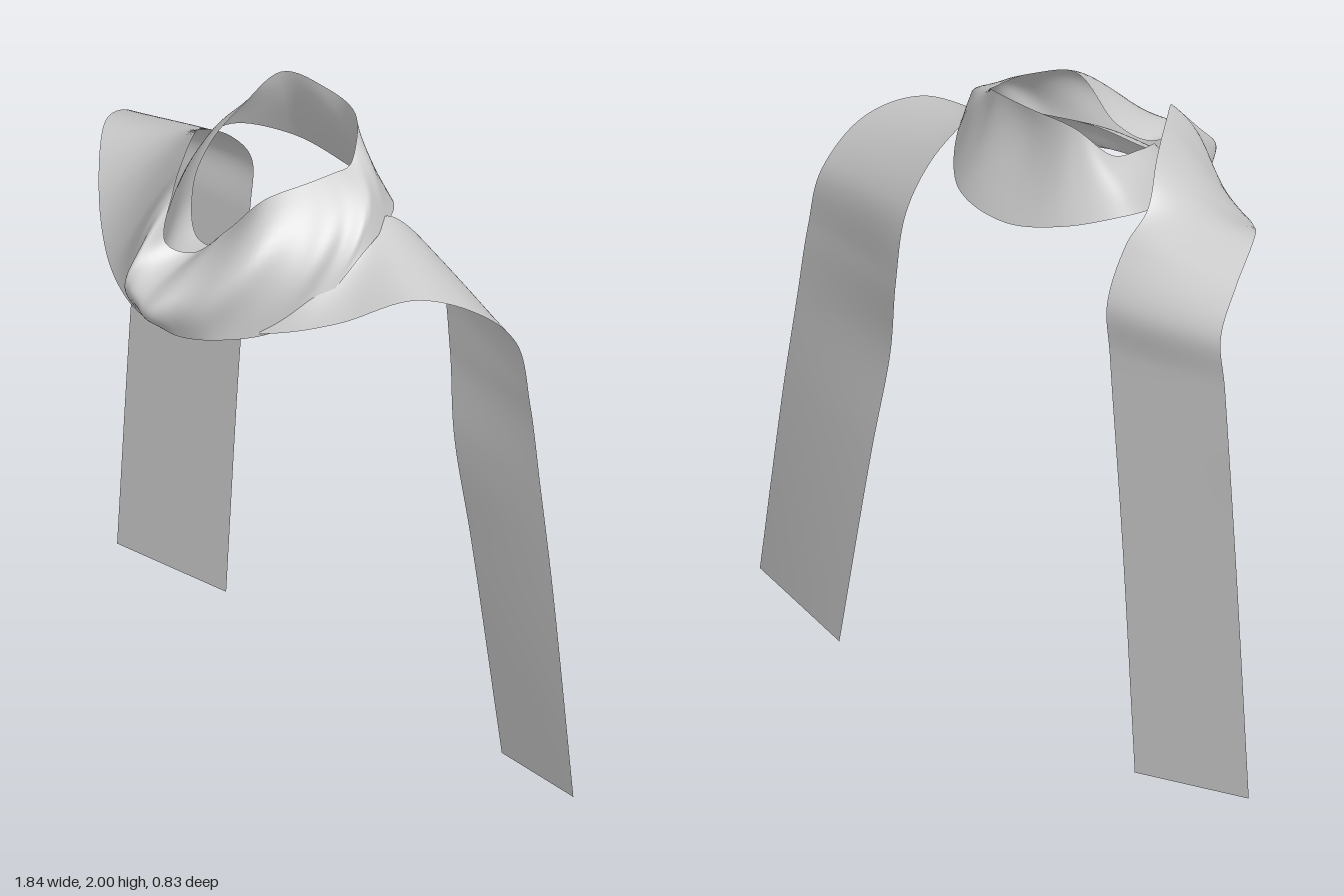
import * as THREE from 'three';

// Each row is one cross-section of the cloth: lower/outer edge xyz, upper/inner edge xyz, outward bulge
const rightTail = [
  [-0.922, 0.025, -0.28, -0.558, 0.003, -0.355, 0],
  [-0.885, 0.75, -0.29, -0.52, 0.75, -0.365, 0],
  [-0.85, 1.35, -0.3, -0.482, 1.35, -0.375, 0],
  [-0.835, 1.52, -0.3, -0.475, 1.53, -0.378, 0.01],
  [-0.805, 1.63, -0.2, -0.46, 1.67, -0.28, 0.01],
  [-0.74, 1.69, -0.05, -0.46, 1.74, -0.19, -0.01],
  [-0.58, 1.6, 0.13, -0.39, 1.825, -0.07, 0],
];
const neckWrap = [
  [-0.41, 1.53, 0.26, -0.28, 1.845, 0.1, 0.01],
  [-0.27, 1.51, 0.33, -0.22, 1.83, 0.19, 0.03],
  [-0.19, 1.502, 0.35, -0.19, 1.7, 0.25, 0.09],
  [-0.11, 1.5, 0.355, -0.13, 1.67, 0.2, 0.15],
  [-0.03, 1.502, 0.35, -0.07, 1.74, 0.12, 0.15],
  [0.07, 1.515, 0.3, 0.04, 1.88, 0.08, 0.1],
  [0.19, 1.55, 0.19, 0.1, 1.91, -0.04, 0.085],
  [0.27, 1.65, 0.06, 0.12, 1.915, -0.12, 0.07],
  [0.29, 1.745, -0.06, 0.125, 1.915, -0.17, 0.05],
  [0.24, 1.75, -0.2, 0.1, 1.94, -0.22, 0.02],
  [0.09, 1.685, -0.375, 0.03, 1.99, -0.29, -0.015],
  [-0.12, 1.67, -0.415, -0.12, 2, -0.31, -0.03],
  [-0.31, 1.71, -0.37, -0.27, 1.985, -0.29, -0.01],
  [-0.44, 1.74, -0.24, -0.335, 1.88, -0.2, 0.015],
  [-0.43, 1.7, -0.09, -0.32, 1.83, -0.06, 0.015],
  [-0.35, 1.6, 0.1, -0.26, 1.77, 0.07, 0.01],
];
const leftTail = [
  [-0.2, 1.53, 0.28, -0.16, 1.68, 0.15, 0.03],
  [0, 1.52, 0.3, 0, 1.7, 0.12, 0.04],
  [0.2, 1.555, 0.2, 0.18, 1.71, 0.05, 0.02],
  [0.35, 1.61, 0.09, 0.25, 1.75, -0.08, 0],
  [0.5, 1.69, -0.06, 0.22, 1.765, -0.22, 0],
  [0.605, 1.64, -0.19, 0.25, 1.68, -0.31, 0.01],
  [0.66, 1.5, -0.31, 0.285, 1.53, -0.375, 0.01],
  [0.7, 1.3, -0.325, 0.325, 1.28, -0.375, 0],
  [0.745, 1.05, -0.32, 0.37, 1.02, -0.347, 0],
  [0.805, 0.73, -0.31, 0.435, 0.68, -0.352, 0],
  [0.92, 0.07, -0.28, 0.555, 0.003, -0.355, 0],
];

const rows = [...rightTail, ...neckWrap, ...leftTail];
const last = rows.length - 1;
const edgeCurve = (k) => new THREE.CatmullRomCurve3(
  rows.map((r) => new THREE.Vector3(r[k], r[k + 1], r[k + 2])));
const lower = edgeCurve(0);
const upper = edgeCurve(3);

// Point on the cloth at section s (0..last) and v across its width
function clothPoint(s, v) {
  const a = lower.getPoint(s / last);
  const b = upper.getPoint(s / last);
  const i = Math.min(Math.floor(s), last - 1);
  const bulge = THREE.MathUtils.lerp(rows[i][6], rows[i + 1][6], THREE.MathUtils.smoothstep(s - i, 0, 1));
  const p = a.lerp(b, v);
  const out = new THREE.Vector3(p.x + 0.1, 0, p.z + 0.05).normalize();
  // fullest just above the middle, with slanting creases on the bulging stretches
  const crease = 0.08 * Math.sin(s * 4.5 - v * 3) * Math.sin(v * Math.PI);
  return p.addScaledVector(out, bulge * (v * (1 - v) * (2 + 3.4 * v) + crease));
}

// Strip of cloth between two sections
function strip(name, from, to, material) {
  const nu = (to - from) * 10;
  const nv = 18;
  const geometry = new THREE.PlaneGeometry(1, 1, nv, nu);
  const pos = geometry.attributes.position;
  for (let j = 0; j <= nu; j++) {
    for (let i = 0; i <= nv; i++) {
      const p = clothPoint(from + j / 10, i / nv);
      pos.setXYZ(j * (nv + 1) + i, p.x, p.y, p.z);
    }
  }
  geometry.computeVertexNormals();
  const mesh = new THREE.Mesh(geometry, material);
  mesh.name = name;
  return mesh;
}

export function createModel() {
  const group = new THREE.Group();
  group.name = 'scarf';
  const cloth = new THREE.MeshStandardMaterial({ color: 0xcccccc, side: THREE.DoubleSide });
  const a = rightTail.length - 1;
  const b = a + neckWrap.length;
  group.add(
    strip('rightTail', 0, a, cloth),
    strip('neckWrap', a, b, cloth),
    strip('leftTail', b, last, cloth),
  );
  return group;
}
